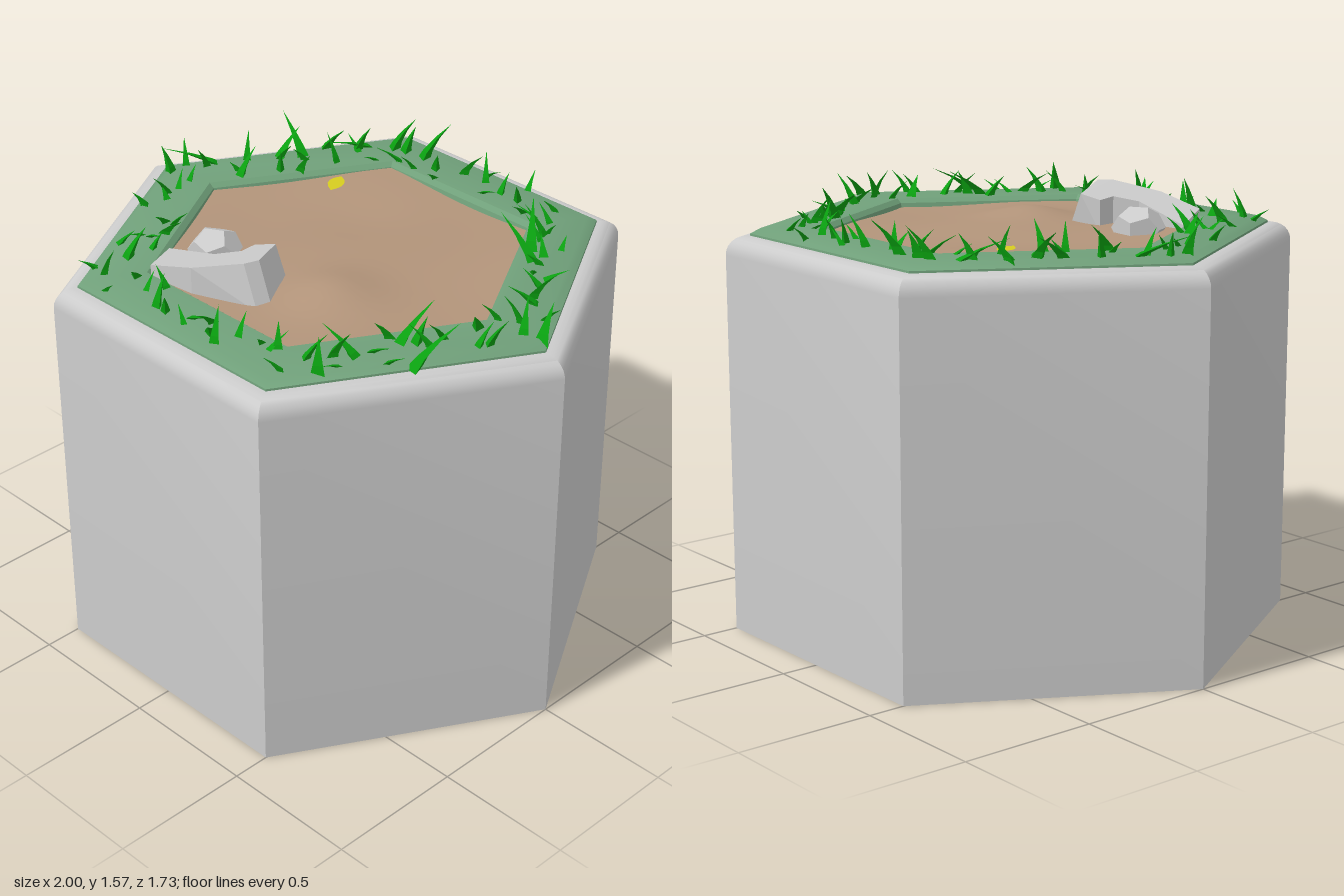
import * as THREE from 'three';
import { mergeGeometries, toCreasedNormals } from 'three/addons/utils/BufferGeometryUtils.js';

const mat = (color, opts = {}) => new THREE.MeshStandardMaterial({ color, ...opts });

function part(group, name, geometry, material) {
  const mesh = new THREE.Mesh(geometry, material);
  mesh.name = name;
  group.add(mesh);
  return mesh;
}

// Six-sided turned solid with corners on the x axis; profile runs up the outside
function hexLathe(profile) {
  const pts = profile.map(([r, y]) => new THREE.Vector2(r, y));
  return toCreasedNormals(new THREE.LatheGeometry(pts, 6, Math.PI / 2), 0.6);
}

function seeded(seed) {
  return () => (seed = (seed * 16807) % 2147483647) / 2147483647;
}

// Three-sided blade tapering from its root and curving towards its tip
function blade(x, z, dx, dz, height, width) {
  const g = new THREE.ConeGeometry(width, 1, 3, 3).toNonIndexed();
  g.rotateY(Math.atan2(dx, dz));
  const p = g.attributes.position;
  for (let i = 0; i < p.count; i++) {
    const t = p.getY(i) + 0.5;
    const lean = 0.4 * t + 0.6 * t * t;
    p.setXYZ(i, x + p.getX(i) + dx * lean, 1.42 + height * t, z + p.getZ(i) + dz * lean);
  }
  g.computeVertexNormals();
  return g;
}

// Gently uneven ground
const groundHeight = (x, z) =>
  1.415 + 0.008 * Math.sin(7 * x + 1) * Math.cos(6 * z)
  + 0.04 * Math.exp(-((x - 0.17) ** 2 + (z - 0.22) ** 2) / 0.02)
  - 0.012 * Math.exp(-((x + 0.15) ** 2 + (z + 0.22) ** 2) / 0.03);

export function createModel() {
  const model = new THREE.Group();
  const stone = mat(0xcccccc);
  const facetedStone = mat(0xcccccc, { flatShading: true });

  // Stone column with a rounded upper edge
  const column = [[0, 0], [1, 0], [1, 1.35]];
  for (let i = 1; i <= 6; i++) {
    const a = (i / 6) * Math.PI / 2;
    column.push([0.93 + 0.07 * Math.cos(a), 1.35 + 0.065 * Math.sin(a)]);
  }
  column.push([0.68, 1.412], [0.66, 1.39], [0, 1.39]);
  part(model, 'stoneColumn', hexLathe(column), stone);

  // Turf border with bevelled edges
  part(model, 'turfBorder', hexLathe([
    [0.92, 1.39], [0.915, 1.422], [0.88, 1.44], [0.68, 1.44], [0.66, 1.425], [0.65, 1.39],
  ]), mat(0x70a07a));

  // Earth patch: a grid squeezed into the hexagon
  const earth = new THREE.PlaneGeometry(2, 1.17, 24, 24).rotateX(-Math.PI / 2);
  const ep = earth.attributes.position;
  for (let i = 0; i < ep.count; i++) {
    const z = ep.getZ(i);
    const x = ep.getX(i) * (0.675 - Math.abs(z) / Math.sqrt(3));
    ep.setXYZ(i, x, groundHeight(x, z), z);
  }
  earth.computeVertexNormals();
  part(model, 'earth', earth, mat(0xb2947a));

  // Slanted slab of rock, rising towards its right end and splayed at the foot
  const outline = [
    [-0.42, 0.42], [-0.33, 0.58], [-0.16, 0.55], [-0.01, 0.45], [0.01, 0.4],
    [-0.07, 0.25], [-0.14, 0.28], [-0.13, 0.35], [-0.2, 0.41],
  ];
  const shape = new THREE.Shape(outline.map(([x, z]) => new THREE.Vector2(x, -z)));
  const slab = new THREE.ExtrudeGeometry(shape, { depth: 1, bevelEnabled: false }).rotateX(-Math.PI / 2);
  const sp = slab.attributes.position;
  for (let i = 0; i < sp.count; i++) {
    const x = sp.getX(i), z = sp.getZ(i);
    if (sp.getY(i) > 0.5) sp.setY(i, Math.min(1.55, 1.535 + 0.27 * (x + 0.05) + 0.05 * (z - 0.4)));
    else sp.setXYZ(i, x + (x > -0.08 ? 0.06 : 0), 1.39, z);
  }
  slab.computeVertexNormals();
  part(model, 'rockSlab', slab, facetedStone);

  // Rounded pebble
  const pebble = part(model, 'pebble', new THREE.DodecahedronGeometry(0.1), facetedStone);
  pebble.scale.set(0.95, 0.75, 0.95);
  pebble.rotation.y = 0.5;
  pebble.position.set(-0.32, 1.43, 0.3);

  // Fallen yellow leaf
  const leafShape = new THREE.Shape();
  leafShape.moveTo(0, -0.05);
  leafShape.quadraticCurveTo(0.05, 0, 0, 0.05);
  leafShape.quadraticCurveTo(-0.055, 0.01, 0, -0.05);
  const leaf = part(model, 'leaf', new THREE.ShapeGeometry(leafShape, 5), mat(0xd6cc20, { side: THREE.DoubleSide }));
  leaf.scale.setScalar(1.15);
  leaf.rotation.set(-Math.PI / 2, 0, 0.45);
  leaf.position.set(-0.37, 1.432, -0.33);

  // Tall blades: root x, root z, lean x, lean z, height
  const blades = [
    [-0.59, -0.38, -0.17, -0.06, 0.13], [-0.48, -0.64, -0.05, 0.2, 0.08],
    [-0.65, -0.31, -0.02, -0.13, 0.1], [-0.77, -0.14, -0.13, 0.17, 0.09],
    [0.53, -0.38, -0.2, -0.05, 0.12], [0.47, -0.43, -0.1, -0.12, 0.15],
    [0.58, 0.33, 0.0, -0.17, 0.12], [0.7, 0.38, 0.03, -0.18, 0.11],
    [0.55, 0.48, -0.14, 0.02, 0.1], [0.88, -0.02, -0.04, -0.1, 0.1],
    [-0.52, 0.36, 0.11, 0.01, 0.1], [-0.28, -0.68, 0.05, -0.1, 0.14],
  ].map(([x, z, dx, dz, h]) => blade(x, z, dx, dz, h, 0.03));

  // Short blades scattered along the six sides of the border
  const rand = seeded(4711);
  for (let side = 0; side < 6; side++) {
    const a = (side * Math.PI) / 3, b = a + Math.PI / 3;
    for (let i = 0; i < 15; i++) {
      const t = (i + rand()) / 15, r = 0.7 + 0.18 * rand();
      const x = r * (Math.cos(a) * (1 - t) + Math.cos(b) * t);
      const z = r * (Math.sin(a) * (1 - t) + Math.sin(b) * t);
      const dir = rand() * Math.PI * 2, lean = 0.04 + 0.07 * rand();
      const height = 0.05 + 0.08 * rand() ** 1.5;
      blades.push(blade(x, z, lean * Math.cos(dir), lean * Math.sin(dir), height, 0.018 + 0.012 * rand()));
    }
  }
  part(model, 'grassBlades', mergeGeometries(blades), mat(0x0aa010, { flatShading: true }));

  return model;
}
